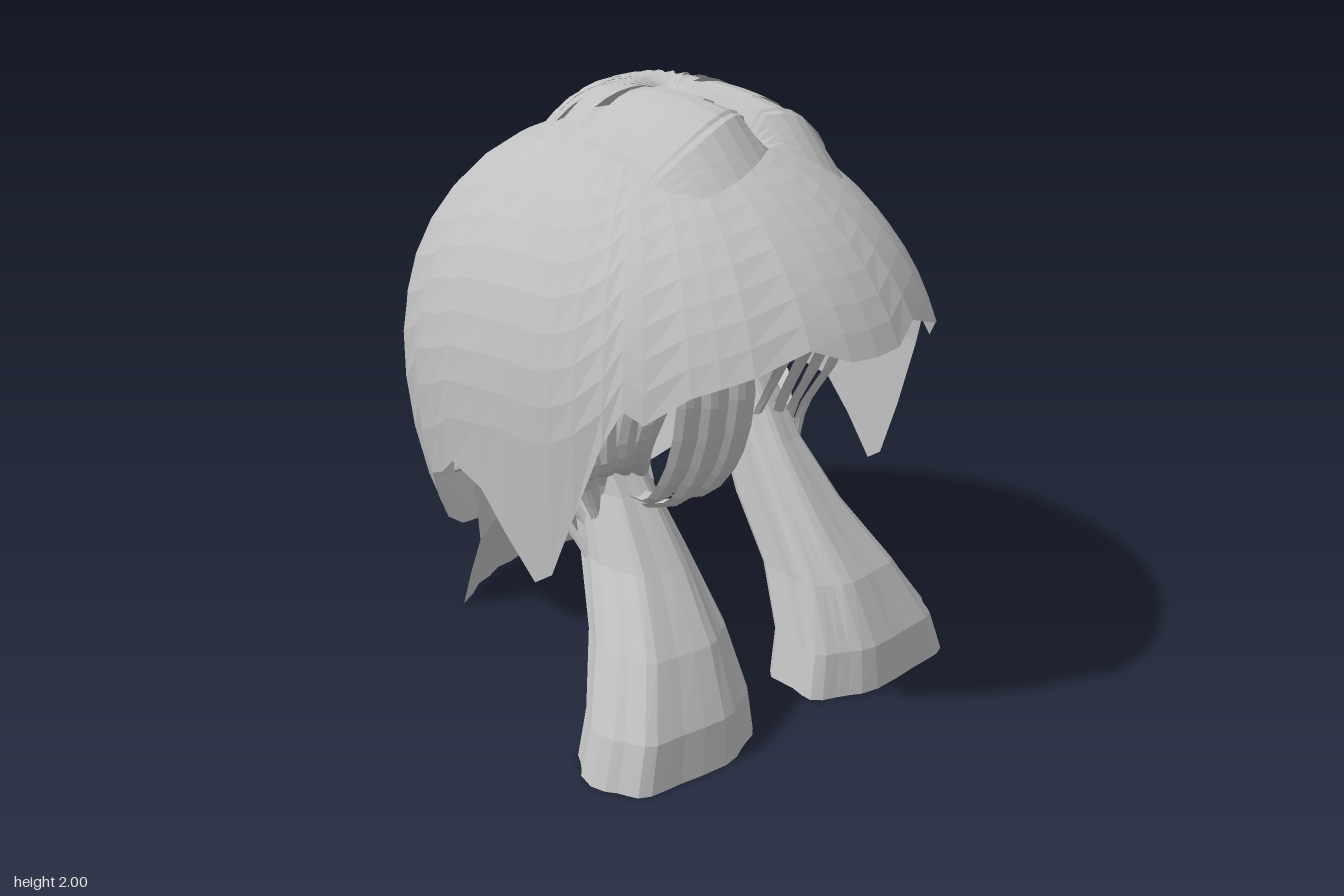
import * as THREE from 'three';

const hair = new THREE.MeshStandardMaterial({ color: 0xc0c0c0, flatShading: true, side: THREE.DoubleSide });
hair.name = 'hairGrey';
const V = (x, y, z) => new THREE.Vector3(x, y, z);
const power = (v, p) => Math.sign(v) * Math.abs(v) ** p;

// Faceted surface from a rule point(i, j): i runs across, j runs along
function surface(name, ni, nj, point) {
  const pos = [], index = [];
  for (let j = 0; j <= nj; j++)
    for (let i = 0; i <= ni; i++) pos.push(...point(i, j).toArray());
  for (let j = 0; j < nj; j++)
    for (let i = 0; i < ni; i++) {
      const a = j * (ni + 1) + i, b = a + ni + 1;
      index.push(a, b, a + 1, a + 1, b, b + 1);
    }
  const indexed = new THREE.BufferGeometry();
  indexed.setAttribute('position', new THREE.Float32BufferAttribute(pos, 3));
  indexed.setIndex(index);
  const geometry = indexed.toNonIndexed();
  geometry.computeVertexNormals();
  const mesh = new THREE.Mesh(geometry, hair);
  mesh.name = name;
  return mesh;
}

// Bowed strand along a path, spread in direction side; widths run from root to tip
function strand(name, path, side, widths, bow = 0.02) {
  const curve = new THREE.CatmullRomCurve3(path.map(p => V(...p)));
  const dir = V(...side).normalize(), n = 10;
  return surface(name, 4, n, (i, j) => {
    const t = j / n, s = i / 2 - 1, k = t * (widths.length - 1), f = Math.min(Math.floor(k), widths.length - 2);
    const w = THREE.MathUtils.lerp(widths[f], widths[f + 1], k - f);
    const out = curve.getTangent(t).cross(dir).normalize();
    return curve.getPoint(t).addScaledVector(dir, s * w / 2).addScaledVector(out, -bow * s * s);
  });
}

// Hemline of the cap: [angle from the front in degrees, height]
const hem = [[0, 1.34], [7, 1.345], [16, 1.39], [29, 1.33], [36, 1.30], [42, 1.27], [51, 1.18], [55, 1.21],
  [59, 1.1], [65, 0.84], [70, 0.62], [74, 0.57], [81, 0.7], [87, 0.81], [96, 0.84], [102, 0.76], [110, 0.7],
  [111.5, 0.6], [125, 0.43], [136, 0.34], [147, 0.3], [158, 0.3], [169, 0.27], [180, 0.27]];

function capPoint(angle, hemY, t) {
  const a = THREE.MathUtils.degToRad(angle), c = Math.cos(a);
  const low = 1.15 + 2.5 * THREE.MathUtils.smoothstep(c, -0.05, 0.3);
  const end = Math.asin((hemY - 1.05) / (hemY < 1.05 ? low : 0.85));
  const el = THREE.MathUtils.lerp(Math.PI / 2, end, t);
  const r = Math.max(0, Math.cos(el)), h = Math.sin(el);
  return V(0.775 * power(Math.sin(a), 0.95) * r ** 0.84, 1.05 + h * (h < 0 ? low : 0.85),
    r * power(c, 0.96) * (c > 0 ? 1.065 : 1));
}

// Height of the cap above a point near the crown
const capY = (x, z) => 1.05 + 0.85 * Math.sqrt(1 - (x / 0.8) ** 2 - (z / 1.04) ** 2);

function crown() {
  const g = new THREE.Group();
  g.name = 'crownTuft';
  // overlapping rolled locks either side of the parting: [back, front, lift at back, lift at front]
  const bands = [[0.0, 0.1, 0.085, 0.1], [0.07, 0.27, 0.1, 0.115], [0.24, 0.4, 0.105, 0.12], [0.37, 0.5, 0.125, 0.03]];
  for (const s of [-1, 1])
    for (const [z0, z1, h0, h1] of bands)
      g.add(surface('crownLock', 8, 5, (i, j) => {
        const u = i / 8, v = j / 5, zv = z0 + (z1 - z0) * v;
        // the front edge is rounded, drawn in at the parting and at the outside
        const z = zv * (0.72 + 0.32 * Math.sin(Math.PI * (0.1 + 0.75 * u))) + 0.02;
        const mid = 0.02 + 0.16 * z;
        const x = mid + ((s > 0 ? 0.42 : -0.37) - mid) * u;
        const lift = (h0 + (h1 - h0) * v) * Math.sin(Math.PI * u ** 0.75) ** 0.75;
        return V(x, capY(x, z) + lift + 0.03 * (1 - u) - 0.015, z);
      }));
  // strands fanning back from the knot
  const ends = [[-0.38, -0.07], [-0.37, -0.2], [-0.27, -0.26], [-0.17, -0.27], [-0.08, -0.29], [0.02, -0.32],
    [0.11, -0.34], [0.2, -0.3], [0.3, -0.27], [0.41, -0.2], [0.42, -0.06]];
  for (const [x, z] of ends) {
    const at = (t, up) => {
      const px = 0.02 + (x - 0.02) * t, pz = 0.04 + (z - 0.04) * t;
      return [px, capY(px, pz) + up, pz];
    };
    g.add(strand('fanStrand', [at(0, 0.05), at(0.3, 0.095), at(0.65, 0.085), at(1, -0.005)],
      [-(z - 0.04), 0, x - 0.02], [0.02, 0.08, 0.12, 0.13], 0.006));
  }
  return g;
}

// Gathered tail: rings of [y, inner edge, outer edge, z, half depth]
const tailRings = [[1.15, 0.26, 0.36, 0.02, 0.05], [0.95, 0.26, 0.42, 0.08, 0.08], [0.75, 0.22, 0.43, 0.16, 0.16],
  [0.55, 0.19, 0.49, 0.3, 0.19], [0.35, 0.175, 0.6, 0.47, 0.19], [0.15, 0.165, 0.71, 0.58, 0.19],
  [0, 0.155, 0.765, 0.6, 0.195]];

function tail(s) {
  const g = new THREE.Group();
  g.name = s > 0 ? 'leftTail' : 'rightTail';
  // boxy fluted sheet wrapped round the front and sides, open down the back
  g.add(surface('tailBody', 28, tailRings.length - 1, (i, j) => {
    const [y, inner, outer, z, d] = tailRings[j];
    const from = inner - (s > 0 ? 0.2 * Math.max(0, 0.42 - y) : 0);
    const a = THREE.MathUtils.degToRad(s > 0 ? 245 - i / 28 * 310 : -65 + i / 28 * 310);
    const r = 0.97 + 0.04 * Math.cos(7 * a);
    return V(s * ((from + outer) / 2 + (outer - from) / 2 * r * power(Math.cos(a), 0.75)), y,
      z + d * r * power(Math.sin(a), 0.75));
  }));
  // loose strands sweeping from the side opening into the tail
  for (let k = 0; k < 4; k++) {
    const e = k * 0.05;
    g.add(strand('sideStrand', [[s * (0.66 - e), 0.72 + e, -0.27 + 2 * e], [s * (0.64 - e), 0.8 + e * 0.4, -0.1 + e],
      [s * (0.52 - e), 0.66, 0.1 + e], [s * (0.46 - e), 0.45, 0.28 + e]], [0.4 * s, 1, 0.4], [0.06, 0.12, 0.08, 0.03]));
  }
  // strands falling from the temple to the tail
  for (let k = 0; k < 3; k++)
    g.add(strand('templeStrand', [[s * (0.64 - k * 0.09), 1.22, 0.3 + k * 0.05], [s * (0.58 - k * 0.09), 1.0, 0.3],
      [s * (0.48 - k * 0.06), 0.8, 0.24], [s * (0.42 - k * 0.04), 0.58, 0.26]], [1, 0.1, -0.3 * s], [0.06, 0.11, 0.08, 0.02]));
  return g;
}

export function createModel() {
  const model = new THREE.Group();
  model.name = 'hairstyle';

  // Cap, with the hemline mirrored to the other side
  const columns = [...hem.slice(1).reverse().map(([a, y]) => [-a, y]), ...hem];
  const rows = 13;
  model.add(surface('cap', columns.length - 1, rows, (i, j) => capPoint(...columns[i], j / rows)));

  model.add(crown(), tail(1), tail(-1));

  // Nape hair hanging out below the back of the cap
  const napeRows = [[1.35, -0.72, 0.3], [1.0, -0.82, 0.36], [0.65, -0.8, 0.38], [0.4, -0.74, 0.4],
    [0.28, -0.71, 0.41], [0.14, -0.75, 0.43], [0, -0.78, 0.45]];
  model.add(surface('nape', 14, napeRows.length - 1, (i, j) => {
    const [y, z, w] = napeRows[j], s = i / 7 - 1;
    return V(-s * w, y, z + 0.19 * s * s + (i % 2) * 0.012);
  }));

  // Curled forelocks hanging behind the right of the fringe
  for (let k = 0; k < 4; k++) {
    const x = -0.17 - k * 0.055, d = (k % 2) * 0.05;
    model.add(strand('forelock', [[x, 1.4, 0.58 - d], [x + 0.01, 1.18, 0.62 - d], [x, 0.92, 0.58 - d],
      [x - 0.03, 0.78, 0.5 - d], [x - 0.06, 0.73 + d, 0.38]], [1, 0, 0.15], [0.08, 0.1, 0.1, 0.06]));
  }
  for (let k = 0; k < 4; k++) {
    const x = -0.4 - k * 0.065;
    model.add(strand('cheekCurl', [[x + 0.04, 1.27 - k * 0.03, 0.46], [x, 1.1, 0.48 - k * 0.03], [x - 0.01, 0.93, 0.42],
      [x + 0.1, 0.8 + k * 0.02, 0.3]], [1, 0.25, 0.3], [0.07, 0.13, 0.12, 0.07], 0.03));
  }

  // Shorter locks behind the left of the fringe
  for (let k = 0; k < 3; k++) {
    const x = 0.25 + k * 0.09;
    model.add(strand('innerLock', [[x, 1.38 - k * 0.03, 0.45], [x + 0.02, 1.2, 0.42], [x + 0.05, 1.0, 0.3],
      [x + 0.02, 0.78, 0.2]], [1, 0, -0.2], [0.1, 0.11, 0.07, 0.03]));
  }
  return model;
}
